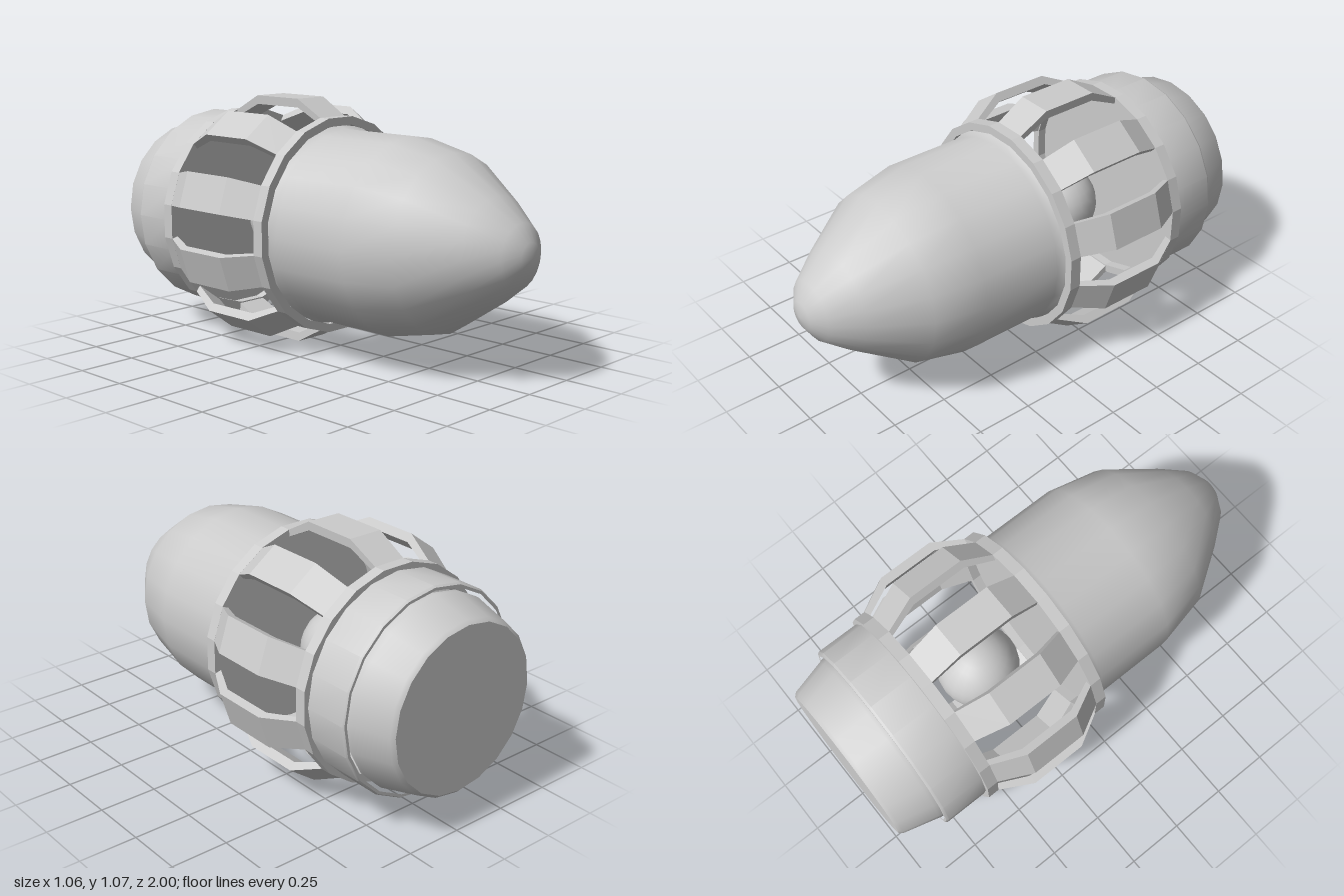
import * as THREE from 'three';
import { toCreasedNormals } from 'three/addons/utils/BufferGeometryUtils.js';

const SIDES = 20;
const AXIS_Y = 0.533;

export function createModel() {
  const model = new THREE.Group();
  model.name = 'capsule';
  const smooth = new THREE.MeshStandardMaterial({ color: 0xcccccc });
  const faceted = new THREE.MeshStandardMaterial({ color: 0xcccccc, flatShading: true });

  // Everything is built round the z axis, then lifted onto the ground.
  const body = new THREE.Group();
  body.name = 'body';
  body.position.y = AXIS_Y;
  model.add(body);

  const add = (name, geometry, material = smooth) => {
    const mesh = new THREE.Mesh(geometry, material);
    mesh.name = name;
    body.add(mesh);
    return mesh;
  };

  // Turned part: profile points are [radius, z], running towards +z on the outside.
  const turned = (profile, start = 0) => {
    const points = profile.map(([r, z]) => new THREE.Vector2(r, z));
    const geometry = new THREE.LatheGeometry(points, SIDES, start);
    geometry.rotateX(Math.PI / 2);
    return toCreasedNormals(geometry, 0.6);
  };

  // Bullet-shaped nose with a small flare and a closed back
  add('nose', turned([
    [0, -0.01], [0.43, -0.01], [0.425, 0], [0.414, 0.03], [0.414, 0.39],
    [0.366, 0.61], [0.22, 0.83], [0.13, 0.945], [0.06, 0.988], [0, 1],
  ]));

  // Two flat-sided collars holding the cage
  for (const [name, back] of [['frontCollar', -0.05], ['rearCollar', -0.62]]) {
    const front = back + 0.05;
    add(name, turned([
      [0.43, back], [0.466, back], [0.466, front], [0.43, front], [0.43, back],
    ], Math.PI / SIDES), faceted);
  }

  // Ten bowed cage bars
  const barShape = new THREE.Shape([
    [-0.58, 0.43], [-0.57, 0.43], [-0.43, 0.495], [-0.18, 0.495], [-0.05, 0.43], [-0.04, 0.43],
    [-0.04, 0.46], [-0.05, 0.46], [-0.18, 0.533], [-0.43, 0.533], [-0.57, 0.46], [-0.58, 0.46],
  ].map(([z, r]) => new THREE.Vector2(z, r)));
  const barGeometry = new THREE.ExtrudeGeometry(barShape, { depth: 2, bevelEnabled: false });
  barGeometry.translate(0, 0, -1).rotateY(-Math.PI / 2);
  // Bars widen slightly away from the axis
  const p = barGeometry.attributes.position;
  for (let i = 0; i < p.count; i++) {
    p.setX(i, p.getX(i) * (0.073 + (p.getY(i) - 0.46) * 0.075));
  }
  barGeometry.computeVertexNormals();
  for (let i = 0; i < 10; i++) {
    add('cageBar', barGeometry, faceted).rotation.z = (i * Math.PI) / 5;
  }

  // Ball inside the cage
  add('coreBall', new THREE.SphereGeometry(0.177, 24, 16)).position.z = -0.313;

  // Rear drum, closed at the front and open at the back
  add('rearDrum', turned([
    [0.425, -0.82], [0.437, -0.82], [0.443, -0.81], [0.443, -0.61], [0, -0.61],
  ]));

  // Tapered end cap with a rounded rim
  add('endCap', turned([
    [0, -1], [0.35, -1], [0.365, -0.985], [0.405, -0.835], [0.41, -0.82], [0.41, -0.8],
  ]));

  return model;
}
